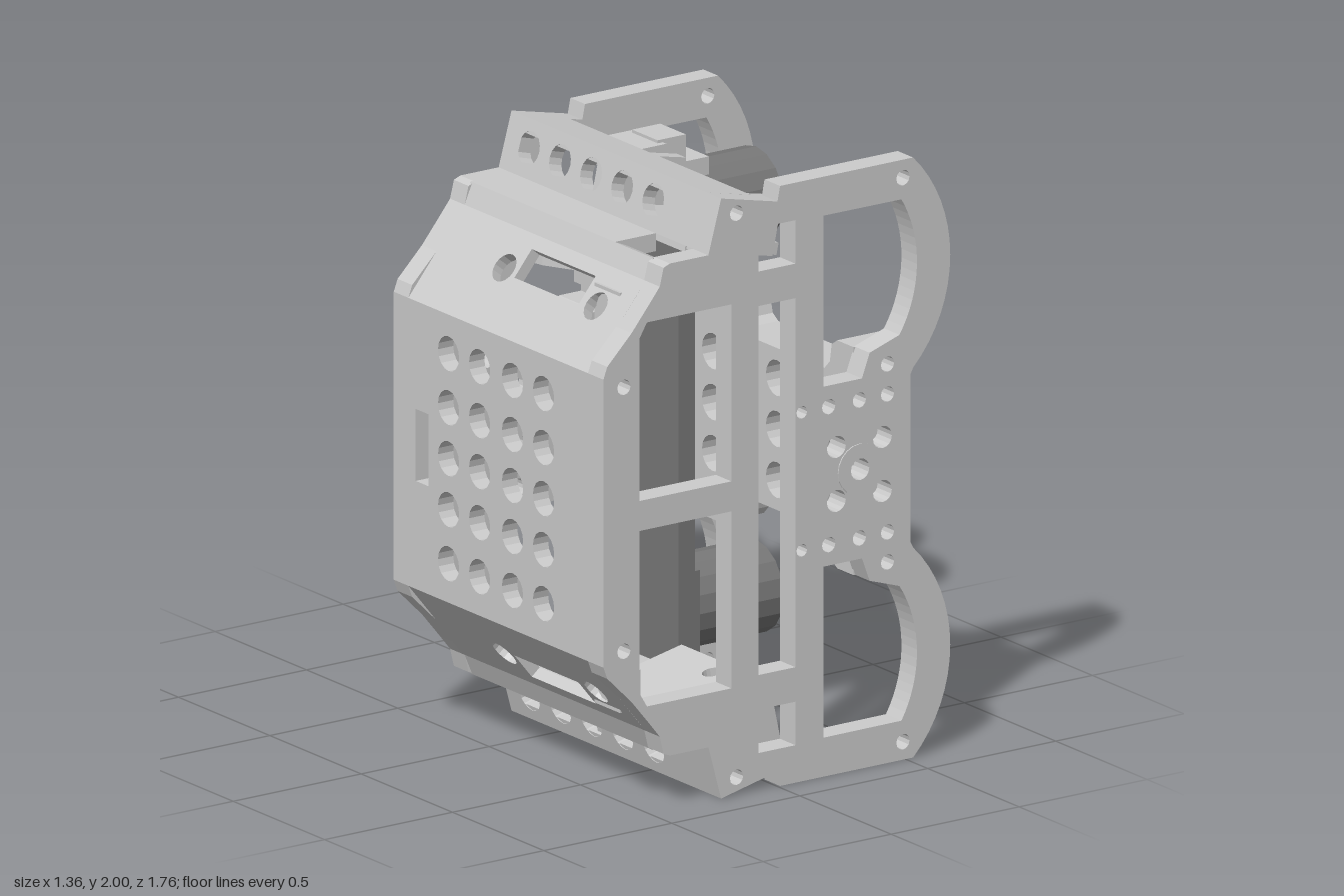
import * as THREE from 'three';

const grey = new THREE.MeshStandardMaterial({ color: 0xcccccc, flatShading: true });
const dark = new THREE.MeshStandardMaterial({ color: 0x777777, flatShading: true });

const arc = (cx, cy, r, a0, a1, n = 16) => Array.from({ length: n + 1 }, (_, i) => {
  const a = (a0 + (a1 - a0) * i / n) * Math.PI / 180;
  return [cx + r * Math.cos(a), cy + r * Math.sin(a)];
});
const circle = (x, y, r, n = 16) => arc(x, y, r, 0, 360 * (n - 1) / n, n - 1);
const rect = (x0, x1, y0, y1) => [[x0, y0], [x1, y0], [x1, y1], [x0, y1]];
const flip = pts => pts.map(([x, y]) => [x, 2 - y]).reverse();
const both = list => list.flatMap(p => [p, flip(p)]);

// Points in counter-clockwise order
function ccw(pts) {
  const v = pts.map(p => new THREE.Vector2(p[0], p[1]));
  return THREE.ShapeUtils.isClockWise(v) ? v.reverse() : v;
}

// Flat slab cut from an outline with holes
function slab(outline, holes, depth) {
  const s = new THREE.Shape(ccw(outline));
  holes.forEach(h => s.holes.push(new THREE.Path(ccw(h).reverse())));
  return new THREE.ExtrudeGeometry(s, { depth, bevelEnabled: false });
}

export function createModel() {
  const model = new THREE.Group();
  const add = (name, geo, mat = grey) => {
    const m = new THREE.Mesh(geo, mat);
    m.name = name;
    model.add(m);
    return m;
  };
  const box = (name, x0, x1, y0, y1, z0, z1, mat) =>
    add(name, new THREE.BoxGeometry(x1 - x0, y1 - y0, z1 - z0)
      .translate((x0 + x1) / 2, (y0 + y1) / 2, (z0 + z1) / 2), mat);

  // Wall panel from a to b in the xy plane, running along z, thickened inward
  function panel(name, a, b, z0, z1, t, holes = []) {
    const L = Math.hypot(b[0] - a[0], b[1] - a[1]);
    const ux = (b[0] - a[0]) / L, uy = (b[1] - a[1]) / L;
    const geo = slab(rect(0, L, z0, z1), holes, t);
    geo.applyMatrix4(new THREE.Matrix4().makeBasis(
      new THREE.Vector3(ux, uy, 0), new THREE.Vector3(0, 0, 1), new THREE.Vector3(uy, -ux, 0)
    ).setPosition(a[0], a[1], 0));
    add(name, geo);
    return L;
  }
  function panelPair(name, a, b, z0, z1, t, holes = []) {
    const L = panel(name + 'Upper', a, b, z0, z1, t, holes);
    panel(name + 'Lower', [b[0], 2 - b[1]], [a[0], 2 - a[1]], z0, z1, t,
      holes.map(h => h.map(([u, v]) => [L - u, v])));
  }

  // Shared upper edge of both end plates
  const edge = [[-0.68, 1.48], [-0.665, 1.52], [-0.57, 1.615], [-0.5, 1.7], [-0.46, 1.75], [-0.445, 1.81],
    [-0.42, 1.82], [-0.27, 1.82], [-0.22, 2], [0, 1.95], [0.01, 2], ...arc(0.18, 1.65, 0.495, 45, -45)];
  const innerArc = arc(0.12, 1.65, 0.425, 31, -33);
  const screws = [[0.49, 1.94], [0.43, 1.33], [0.2, 1.23], [0.32, 1.23], [0.43, 1.23]]
    .map(([x, y]) => circle(x, y, 0.026, 12));
  const frontScrews = [[-0.6, 1.44], [-0.16, 1.94]].map(([x, y]) => circle(x, y, 0.026, 12));
  const hubHoles = [[0.41, 1.09], [0.23, 1.09]].map(([x, y]) => circle(x, y, 0.037));

  // Front plate
  const frontEdge = [...edge, [0.52, 1.28]];
  add('frontPlate', slab([...frontEdge, ...flip(frontEdge)], [
    ...both([
      ...screws, ...frontScrews, ...hubHoles, circle(0.095, 1.23, 0.021, 12),
      [[-0.54, 1.05], [-0.18, 1.05], [-0.18, 1.64], [-0.51, 1.64], [-0.54, 1.59]],
      rect(-0.075, 0.07, 1.73, 1.875),
      [...innerArc, [0.36, 1.38], [0.33, 1.3], [0.18, 1.3], [0.18, 1.87]],
    ]),
    rect(-0.075, 0.07, 0.385, 1.615), circle(0.32, 1, 0.036),
  ], 0.085)).position.z = 0.793;
  add('hubRing', slab(circle(0.32, 1, 0.085, 20), [circle(0.32, 1, 0.036)], 0.01)).position.z = 0.872;

  // Back plate with a round bulge behind the hub
  const backEdge = [...edge, ...arc(0.32, 1, 0.355, 58, 4, 10)];
  add('backPlate', slab([...backEdge, ...flip(backEdge)], [
    ...both([
      ...screws, ...hubHoles,
      ...[[-0.37, 1.23, 0.04], [-0.25, 1.23, 0.03], [-0.23, 1.1, 0.04], [-0.04, 1.1, 0.04],
        [-0.02, 1.23, 0.027], [0.09, 1.23, 0.023], [0.54, 1.23, 0.023]].map(h => circle(...h)),
      [...innerArc, [0.36, 1.38], [0.33, 1.3], [-0.23, 1.3], [-0.26, 1.35], [-0.18, 1.65], [-0.1, 1.87]],
    ]),
    circle(0.32, 1, 0.036), circle(-0.01, 1, 0.032),
  ], 0.08)).position.z = -0.27;

  // Side shell between the plates
  const z0 = -0.2, z1 = 0.8, cols = [0.03, 0.2, 0.38, 0.55];
  const grid = [0.65, 0.83, 1, 1.17, 1.35].flatMap(y => cols.map(z => circle(y - 0.52, z, 0.058)));
  panel('sideWall', [-0.68, 0.52], [-0.68, 1.48], z0, z1, 0.06, [...grid, rect(0.36, 0.6, -0.15, -0.08)]);
  panelPair('shoulderWall', [-0.68, 1.48], [-0.46, 1.75], z0, z1, 0.04,
    [circle(0.21, 0.15, 0.05), circle(0.21, 0.65, 0.05), rect(0.193, 0.3, 0.22, 0.57)]);
  panelPair('shoulderBend', [-0.46, 1.75], [-0.43, 1.82], z0, z1, 0.05);
  panelPair('shoulderLedge', [-0.43, 1.82], [-0.27, 1.82], z0, 0.59, 0.06);
  panelPair('topRail', [-0.27, 1.82], [-0.22, 2], z0, z1, 0.05,
    [-0.14, 0.03, 0.2, 0.37, 0.54].map(z => circle(0.095, z, 0.056)));
  panelPair('topCover', [-0.22, 2], [-0.05, 1.962], z0, z1, 0.05);
  panelPair('innerLedge', [-0.25, 1.83], [0.11, 1.755], 0.21, 0.73, 0.04, [circle(0.3, 0.47, 0.033)]);
  for (const z of [0.2, 0.73])
    panelPair('ledgeRib', [-0.21, 1.985], [0.09, 1.92], z, z + 0.05, 0.19);

  // Perforated bridge on the open side
  const top = [[-0.8, 1.38], [-0.71, 1.38], [-0.68, 1.36], [-0.67, 1.3], [-0.64, 1.27], [-0.15, 1.27],
    [-0.12, 1.29], [-0.1, 1.36], [-0.07, 1.39], [0.17, 1.39], [0.2, 1.36]];
  const bridgeHoles = [0.83, 1, 1.17].flatMap(y => [...cols, 0.71].map(z => circle(-z, y, 0.06)));
  add('bridge', slab([...top, ...flip(top)], [...bridgeHoles, rect(0.075, 0.185, 0.73, 1.27)], 0.17)
    .rotateY(Math.PI / 2)).position.x = 0.353;

  // Drive units, mirrored about mid height
  box('gearbox', 0.125, 0.19, 0.14, 1.86, -0.19, 0.16, dark);
  for (const s of [1, -1]) {
    const span = (name, x0, x1, a, b, za, zb, mat) =>
      box(name, x0, x1, Math.min(1 + s * a, 1 + s * b), Math.max(1 + s * a, 1 + s * b), za, zb, mat);
    span('motorFlange', 0.16, 0.21, 0.5, 0.86, -0.165, 0.16, dark);
    add('motor', new THREE.CylinderGeometry(0.152, 0.152, 0.35, 16).rotateZ(Math.PI / 2)
      .translate(0.375, 1 + s * 0.655, -0.01), dark);
    span('motorBracket', 0.0, 0.2, 0.82, 0.88, -0.2, 0.18);
    span('bracketLip', 0.14, 0.23, 0.82, 0.88, 0.04, 0.18);
    span('bracketPost', 0.03, 0.14, 0.84, 0.97, 0.04, 0.18);
    span('bracketTie', -0.08, 0.05, 0.9, 0.96, 0.04, 0.2);
    span('cornerTab', -0.51, -0.43, 0.57, 0.7, 0.59, 0.73);
  }

  // Rear bracket
  const plateTop = [[0.03, 1.27], [0.06, 1.3], [0.145, 1.3], [0.145, 1.34],
    [0.49, 1.34], [0.49, 1.3], [0.58, 1.3], [0.61, 1.27]];
  const dots = [[0.1, 0.75], [0.54, 0.75], [0.1, 1.25], [0.54, 1.25]].map(([x, y]) => circle(x, y, 0.02, 10));
  add('bracketPlate', slab([...plateTop, ...flip(plateTop)], [rect(0.25, 0.39, 0.93, 1.07), ...dots], 0.13))
    .position.z = -0.4;
  add('bracketSocket', slab(rect(0.24, 0.4, 0.92, 1.08), [circle(0.32, 1, 0.03)], 0.03)).position.z = -0.33;

  // Two arms ending in round eyes
  const arm = [[0.145, 0.27], [0.49, 0.27], [0.49, 0.44], [0.42, 0.53],
    ...arc(0.32, 0.71, 0.172, -25, 205, 9), [0.22, 0.53], [0.145, 0.44]];
  for (const [y, bossY] of [[0.6, 0.588], [1.32, 1.41]]) {
    add('arm', slab(arm, [circle(0.32, 0.71, 0.036)], 0.092).rotateX(-Math.PI / 2)).position.y = y;
    add('armBoss', slab(circle(0.32, 0.71, 0.13, 12), [circle(0.32, 0.71, 0.036)], 0.015)
      .rotateX(-Math.PI / 2)).position.y = bossY;
  }
  return model;
}
